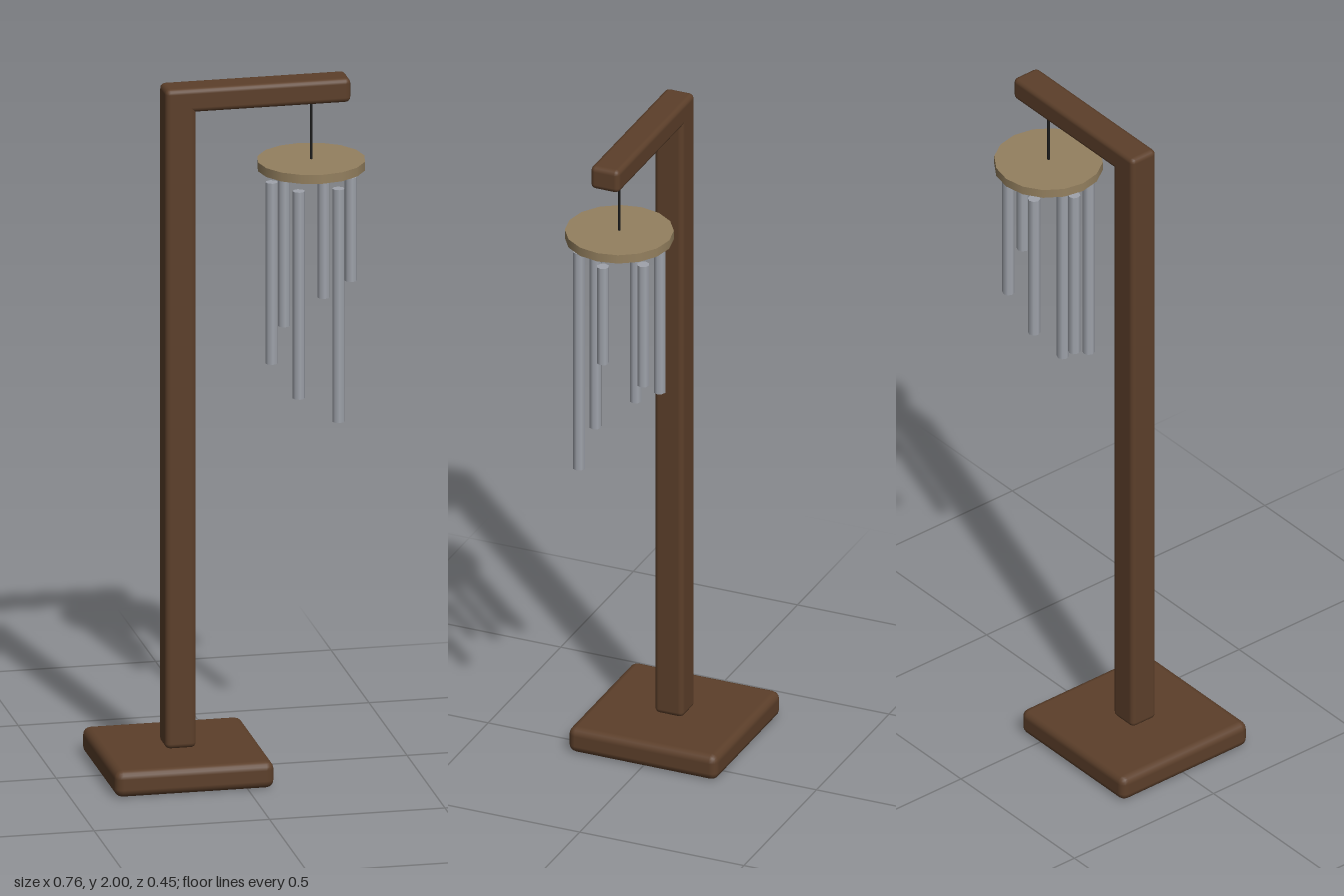
import * as THREE from 'three';
import { RoundedBoxGeometry } from 'three/addons/geometries/RoundedBoxGeometry.js';

export function createModel() {
  const model = new THREE.Group();
  model.name = 'windChimeStand';

  const wood = new THREE.MeshStandardMaterial({ color: 0x5c3f2a });
  const paleWood = new THREE.MeshStandardMaterial({ color: 0x94805f });
  const metal = new THREE.MeshStandardMaterial({ color: 0x9fa3ab });
  const cord = new THREE.MeshStandardMaterial({ color: 0x1c1c1c });

  const add = (parent, name, geometry, material, x, y, z) => {
    const mesh = new THREE.Mesh(geometry, material);
    mesh.name = name;
    mesh.position.set(x, y, z);
    parent.add(mesh);
    return mesh;
  };

  // Rounded beam spanning the given x and y ranges, centred on z
  const beam = (name, x0, x1, y0, y1, depth, radius) =>
    add(model, name, new RoundedBoxGeometry(x1 - x0, y1 - y0, depth, 2, radius),
      wood, (x0 + x1) / 2, (y0 + y1) / 2, 0);

  // Stand
  beam('base', -0.379, 0.075, 0, 0.077, 0.454, 0.023);
  beam('post', -0.197, -0.109, 0.075, 2, 0.088, 0.015);
  beam('arm', -0.197, 0.332, 1.93, 2, 0.088, 0.015);

  // Hanging chime: cord, disc and a ring of tubes
  const chime = new THREE.Group();
  chime.name = 'chime';
  chime.position.x = 0.227;
  model.add(chime);

  add(chime, 'hangingCord', new THREE.CylinderGeometry(0.004, 0.004, 0.2, 6), cord, 0, 1.84, 0);

  const disc = new THREE.CylinderGeometry(0.152, 0.152, 0.026, 16);
  add(chime, 'disc', disc, paleWood, 0, 1.747, 0);

  // Tubes shorten step by step around the ring
  const top = 1.7;
  for (let i = 0; i < 6; i++) {
    const length = 0.68 - i * 0.0756;
    const angle = ((i + 1) * Math.PI) / 3;
    add(chime, 'chimeTube' + (i + 1), new THREE.CylinderGeometry(0.0175, 0.0175, length, 8),
      metal, 0.113 * Math.cos(angle), top - length / 2, 0.113 * Math.sin(angle));
  }

  return model;
}
